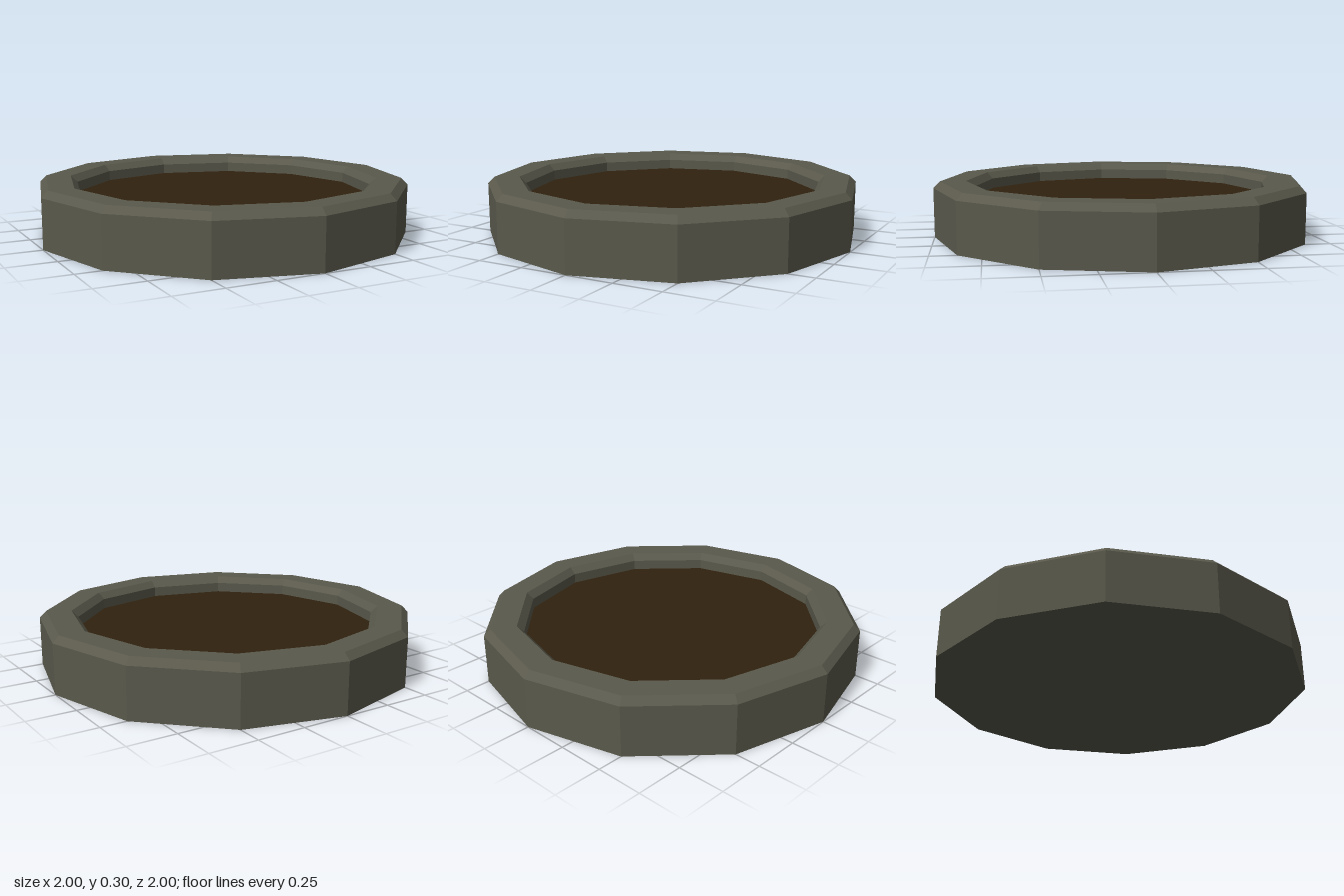
import * as THREE from 'three';

const SIDES = 12;

// Un-shares vertices so every face gets its own flat normal
function faceted(geometry) {
  const flat = geometry.toNonIndexed();
  flat.computeVertexNormals();
  return flat;
}

function disc(radius, y, up) {
  const g = new THREE.CircleGeometry(radius, SIDES);
  g.rotateX(up ? -Math.PI / 2 : Math.PI / 2);
  g.translate(0, y, 0);
  return g;
}

export function createModel() {
  const group = new THREE.Group();
  const stone = new THREE.MeshStandardMaterial({ color: 0x5a594c });
  stone.name = 'stone';
  const soil = new THREE.MeshStandardMaterial({ color: 0x30220f });
  soil.name = 'soil';

  const add = (name, geometry, material) => {
    const mesh = new THREE.Mesh(geometry, material);
    mesh.name = name;
    group.add(mesh);
  };

  // Rim: outer wall, bevel, flat top, inner bevel, inner wall
  const profile = [
    [1, 0], [1, 0.262], [0.965, 0.297],
    [0.83, 0.297], [0.795, 0.262], [0.795, 0.2],
  ].map(([r, y]) => new THREE.Vector2(r, y));
  add('rim', faceted(new THREE.LatheGeometry(profile, SIDES)), stone);

  // Underside
  add('base', disc(1, 0, false), stone);

  // Recessed earth filling
  add('soilBed', disc(0.797, 0.208, true), soil);

  return group;
}
